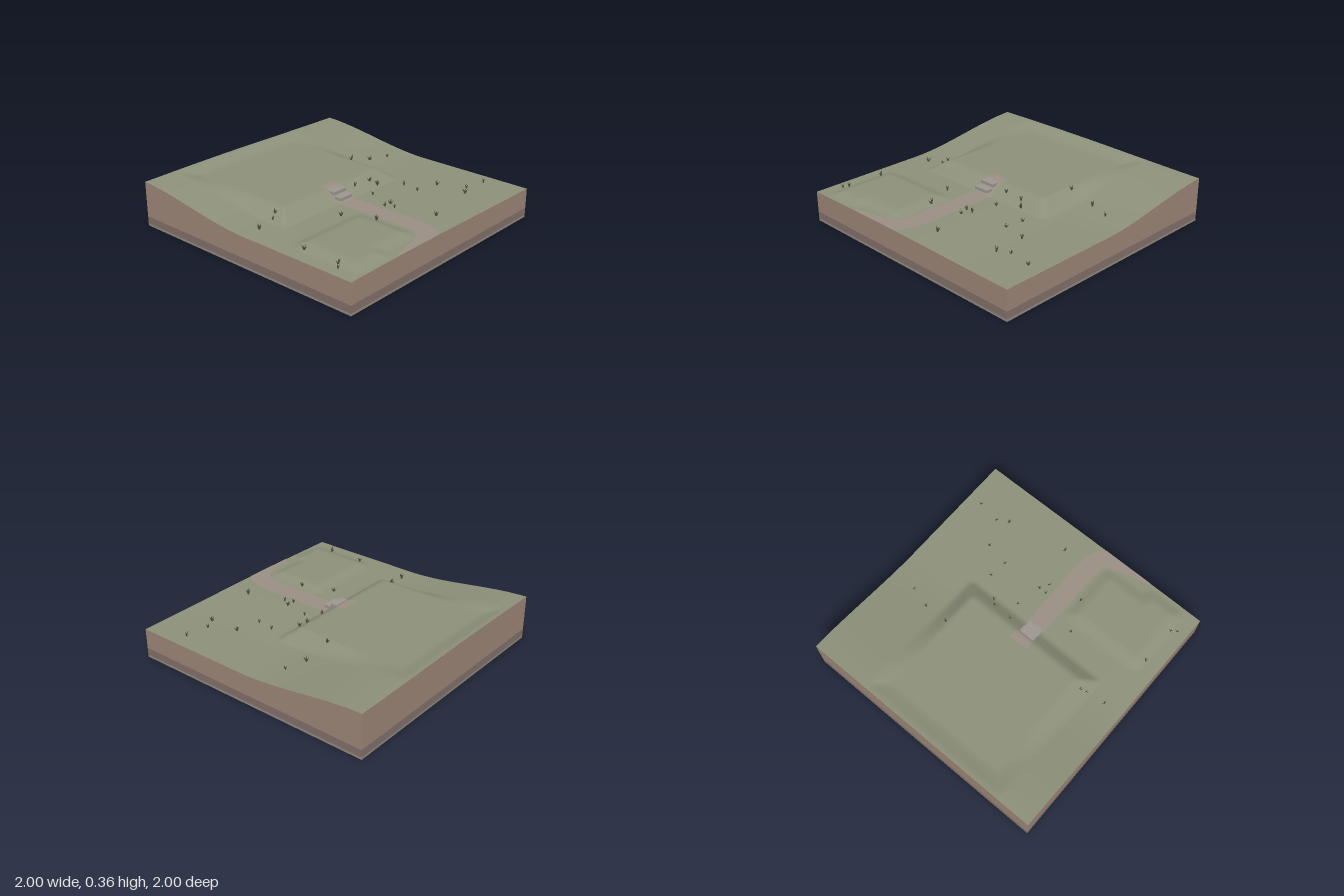
import * as THREE from 'three';
import { mergeGeometries } from 'three/addons/utils/BufferGeometryUtils.js';

const { clamp, smoothstep, lerp } = THREE.MathUtils;
const SEGMENTS = 80;

const material = (color, side = THREE.FrontSide) => new THREE.MeshStandardMaterial({ color, side });

function addMesh(parent, name, geometry, mat) {
  const mesh = new THREE.Mesh(geometry, mat);
  mesh.name = name;
  parent.add(mesh);
  return mesh;
}

// 1 inside a rectangle, falling to 0 over the given margin
function plateau(x, z, [x0, x1, z0, z1], margin, rounded) {
  const dx = Math.max(x0 - x, x - x1, 0);
  const dz = Math.max(z0 - z, z - z1, 0);
  const d = rounded ? Math.hypot(dx, dz) : Math.max(dx, dz);
  return clamp(1 - d / margin, 0, 1);
}

// Height of the ground: a gentle hillside with a levelled terrace and a low raised bed
function groundHeight(x, z) {
  const hill = 0.237 + 0.115 * smoothstep(-z, -0.05, 1.05) + 0.005 * Math.cos(2.5 * x + 0.7);
  const terrace = plateau(x, z, [-0.61, 0.4, -0.86, 0.04], 0.11, false);
  const bed = Math.max(
    plateau(x, z, [-0.82, -0.62, 0.45, 0.89], 0.08, true),
    plateau(x, z, [-0.82, -0.28, 0.45, 0.82], 0.08, true)
  );
  return lerp(lerp(hill, 0.32, terrace), 0.267, bed);
}

// Move every vertex of a geometry by a rule
function reshape(geometry, rule) {
  const p = geometry.attributes.position;
  const v = new THREE.Vector3();
  for (let i = 0; i < p.count; i++) {
    rule(v.fromBufferAttribute(p, i));
    p.setXYZ(i, v.x, v.y, v.z);
  }
  geometry.computeVertexNormals();
  return geometry;
}

// Soil wall on one side of the block, its top following the ground
function wallGeometry(side) {
  const g = new THREE.PlaneGeometry(2, 1, SEGMENTS, 1);
  g.translate(0, 0, 1).rotateY(side * Math.PI / 2);
  return reshape(g, v => { v.y = v.y > 0 ? groundHeight(v.x, v.z) : 0.075; });
}

// Ribbon draped over the ground along a curve
function pathGeometry() {
  const curve = new THREE.CatmullRomCurve3([
    [-0.095, -0.03], [-0.095, 0.2], [-0.095, 0.5], [-0.095, 0.78],
    [-0.125, 0.91], [-0.22, 0.98], [-0.36, 1.02], [-0.52, 1.06]
  ].map(([x, z]) => new THREE.Vector3(x, 0, z)));
  const g = new THREE.PlaneGeometry(1, 1, 8, 90);
  return reshape(g, v => {
    const t = clamp(v.y + 0.5, 0, 1);
    const c = curve.getPointAt(t);
    const d = curve.getTangentAt(t);
    const offset = v.x * 0.15;
    const x = c.x - d.z * offset;
    const z = Math.min(c.z + d.x * offset, 1);
    v.set(x, groundHeight(x, z) + 0.003, z);
  });
}

// Tuft of thin upright blades fanned around its root
function tuftGeometry() {
  const blades = [];
  for (let i = 0; i < 5; i++) {
    const lean = [0.022, 0.014, 0.006, 0.018, 0.01][i];
    const height = [0.028, 0.036, 0.046, 0.032, 0.04][i];
    const shape = new THREE.Shape([
      new THREE.Vector2(-0.004, -0.004), new THREE.Vector2(0.004, -0.004),
      new THREE.Vector2(lean * 0.5 + 0.003, height * 0.5),
      new THREE.Vector2(lean, height),
      new THREE.Vector2(lean * 0.3 - 0.003, height * 0.5)
    ]);
    blades.push(new THREE.ShapeGeometry(shape).rotateY(i * Math.PI * 0.4));
  }
  return mergeGeometries(blades);
}

export function createModel() {
  const model = new THREE.Group();
  model.name = 'terrainBlock';

  // Grass surface
  const grass = new THREE.PlaneGeometry(2, 2, SEGMENTS, SEGMENTS).rotateX(-Math.PI / 2);
  reshape(grass, v => { v.y = groundHeight(v.x, v.z); });
  addMesh(model, 'grassSurface', grass, material(0x8d917a));

  // Earth layers
  const soil = material(0x9d8677);
  for (let side = 0; side < 4; side++) addMesh(model, 'soilWall', wallGeometry(side), soil);
  const subsoil = addMesh(model, 'subsoilLayer', new THREE.BoxGeometry(2, 0.057, 2), material(0x83706b));
  subsoil.position.y = 0.0465;
  const base = addMesh(model, 'stoneBase', new THREE.BoxGeometry(2, 0.018, 2), material(0x918a7e));
  base.position.y = 0.009;

  // Footpath up to the terrace
  addMesh(model, 'footpath', pathGeometry(), material(0x9a8f84, THREE.DoubleSide));

  // Two stone steps in the terrace bank
  const stone = material(0x9c9790);
  [[0.287, 0.145], [0.316, 0.082]].forEach(([top, z]) => {
    const step = addMesh(model, 'stoneStep', new THREE.BoxGeometry(0.125, 0.024, 0.054), stone);
    step.position.set(-0.105, top - 0.012, z);
  });

  // Grass tufts scattered over the slope
  const tuft = tuftGeometry();
  const tuftMaterial = material(0x4c5138, THREE.DoubleSide);
  [
    [-0.92, 0.82], [-0.88, 0.79], [-0.88, 0.49], [-0.85, 0.04], [-0.7, 0.02], [-0.66, 0.0],
    [-0.32, 0.31], [-0.22, 0.55], [0.04, 0.5], [0.02, 0.43], [0.08, 0.43], [0.13, 0.8],
    [0.12, 0.23], [0.08, 0.09], [0.24, 0.1], [0.28, 0.14], [0.41, 0.42], [0.43, 0.28],
    [0.6, 0.46], [0.61, 0.71], [0.7, 0.66], [0.88, 0.69], [0.42, -0.24], [0.63, -0.23], [0.79, -0.18]
  ].forEach(([x, z], i) => {
    const mesh = addMesh(model, 'grassTuft', tuft, tuftMaterial);
    mesh.position.set(x, groundHeight(x, z), z);
    mesh.rotation.y = i * 2.4;
    mesh.scale.setScalar(0.85 + 0.1 * (i % 4));
  });

  return model;
}
